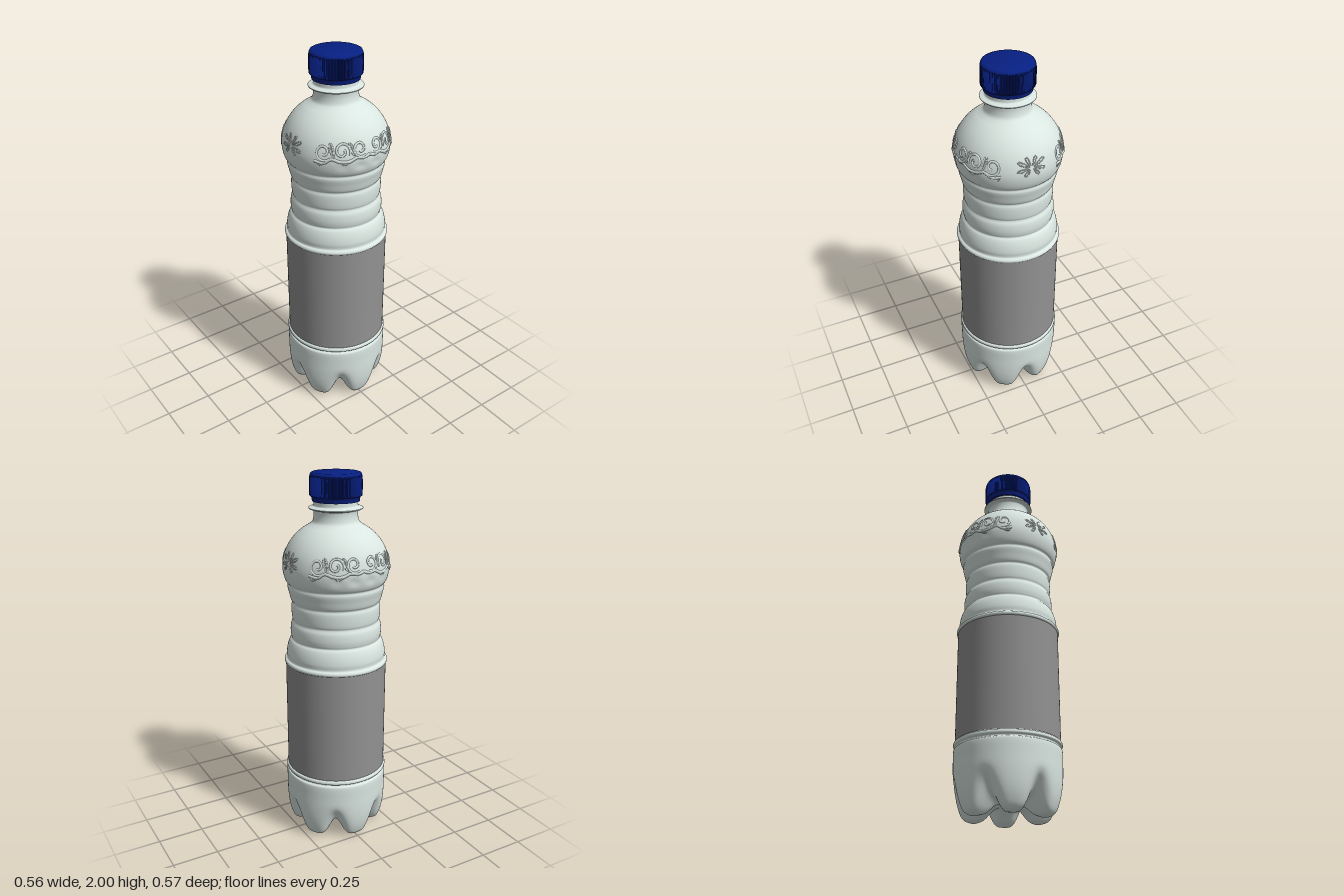
import * as THREE from 'three';
import { mergeVertices, mergeGeometries, toCreasedNormals } from 'three/addons/utils/BufferGeometryUtils.js';

const bottleMat = new THREE.MeshStandardMaterial({ color: 0xdae6e1 });
const labelMat = new THREE.MeshStandardMaterial({ color: 0x929292, side: THREE.DoubleSide });
const capMat = new THREE.MeshStandardMaterial({ color: 0x072083 });

// Smooth curve through [radius, height] pairs
function profile(pairs, n) {
  const curve = new THREE.CatmullRomCurve3(pairs.map(([r, y]) => new THREE.Vector3(r, y, 0)), false, 'centripetal');
  return curve.getPoints(n).map(p => new THREE.Vector2(Math.max(p.x, 0), p.y));
}

// Revolve a profile, then reshape every vertex with rule(j, phi, point) -> [radius, height]
function revolve(points, segments, rule) {
  const geo = new THREE.LatheGeometry(points, segments);
  const pos = geo.attributes.position;
  for (let i = 0; i <= segments; i++) {
    const phi = (i % segments) / segments * Math.PI * 2;
    points.forEach((p, j) => {
      const [r, y] = rule(j, phi, p);
      pos.setXYZ(i * points.length + j, r * Math.sin(phi), y, r * Math.cos(phi));
    });
  }
  geo.deleteAttribute('uv');
  geo.deleteAttribute('normal');
  const merged = mergeVertices(geo, 1e-5);
  merged.computeVertexNormals();
  return merged;
}

// Foot and valley sections of the six-lobed base
const FOOT = profile([[0, 0.07], [0.06, 0.067], [0.105, 0.045], [0.145, 0.012], [0.18, 0.001], [0.212, 0.001],
  [0.24, 0.016], [0.26, 0.06], [0.273, 0.12], [0.279, 0.19], [0.28, 0.27]], 40);
const VALLEY = profile([[0, 0.07], [0.06, 0.07], [0.105, 0.072], [0.145, 0.076], [0.178, 0.088], [0.205, 0.108],
  [0.23, 0.138], [0.25, 0.164], [0.266, 0.186], [0.277, 0.214], [0.28, 0.27]], 40);

// Wall, label recess, ribbed waist, shoulder, neck and collar
const WALL = profile([[0.28, 0.27], [0.28, 0.335], [0.277, 0.345], [0.269, 0.35], [0.269, 0.358], [0.28, 0.363],
  [0.281, 0.372], [0.278, 0.38], [0.267, 0.385], [0.267, 0.6], [0.267, 0.99], [0.277, 0.997], [0.28, 1.006],
  [0.276, 1.015], [0.266, 1.022], [0.267, 1.05], [0.26, 1.09], [0.248, 1.12], [0.238, 1.132], [0.241, 1.145],
  [0.244, 1.17], [0.24, 1.21], [0.23, 1.232], [0.234, 1.245], [0.237, 1.28], [0.236, 1.315], [0.231, 1.332],
  [0.239, 1.345], [0.248, 1.38], [0.256, 1.415], [0.253, 1.432], [0.263, 1.445], [0.273, 1.47], [0.28, 1.51],
  [0.278, 1.55], [0.265, 1.6], [0.242, 1.645], [0.21, 1.685], [0.172, 1.717], [0.14, 1.737], [0.122, 1.752],
  [0.115, 1.775], [0.114, 1.8], [0.117, 1.812], [0.139, 1.818], [0.14, 1.824], [0.116, 1.832], [0.113, 1.845],
  [0.113, 1.9]], 192);

function radiusAt(y) {
  const k = WALL.findIndex(p => p.y >= y);
  const a = WALL[k - 1], b = WALL[k];
  return a.x + (b.x - a.x) * (y - a.y) / (b.y - a.y);
}

function bottle() {
  const points = [...FOOT, ...WALL.slice(1)];
  const geo = revolve(points, 144, (j, phi, p) => {
    if (j >= FOOT.length) {
      // shallow flutes below the scrollwork
      const flute = Math.exp(-(((p.y - 1.495) / 0.02) ** 2)) * Math.max(0, Math.cos(2 * phi));
      return [p.x - 0.006 * flute * (0.5 - 0.5 * Math.cos(18 * phi)), p.y];
    }
    const w = Math.pow(0.5 - 0.5 * Math.cos(6 * phi), 2.2);
    const v = VALLEY[j];
    return [p.x + (v.x - p.x) * w, p.y + (v.y - p.y) * w];
  });
  return new THREE.Mesh(geo, bottleMat);
}

// Raised line on the shoulder; u is the arc distance from the angle phi0
function relief(path, phi0, thick, closed = false) {
  const pts = path.map(([u, y]) => {
    const phi = phi0 + u / 0.28, r = radiusAt(y) - thick * 0.3;
    return new THREE.Vector3(r * Math.sin(phi), y, r * Math.cos(phi));
  });
  return new THREE.TubeGeometry(new THREE.CatmullRomCurve3(pts, closed), path.length * 2, thick, 6, closed);
}

function spiral(u, y, size, dir, start, turns) {
  return Array.from({ length: 18 }, (_, i) => {
    const t = i / 17, a = start + dir * t * turns * Math.PI * 2, r = size * (1 - 0.75 * t);
    return [u + r * Math.cos(a), y + r * Math.sin(a)];
  });
}

// Closed leaf outline growing from (u, y) in a direction
function leaf(u, y, angle, length, width) {
  return Array.from({ length: 12 }, (_, i) => {
    const a = i / 12 * Math.PI * 2;
    const l = length * (0.5 - 0.5 * Math.cos(a)), w = width * Math.sin(a) * (0.3 + 0.7 * l / length);
    return [u + l * Math.cos(angle) - w * Math.sin(angle), y + l * Math.sin(angle) + w * Math.cos(angle)];
  });
}

// Scrollwork band, mirrored about its middle
function scrollBand(phi0) {
  const parts = [];
  for (const s of [-1, 1]) {
    const add = (path, thick, closed) => parts.push(relief(path.map(([u, y]) => [s * u, y]), phi0, thick, closed));
    add(spiral(0.05, 1.583, 0.042, 1, -2.2, 1.2), 0.007);
    add(spiral(0.145, 1.576, 0.044, -1, 3.6, 1.2), 0.007);
    add(spiral(0.24, 1.572, 0.045, 1, -2.4, 1.2), 0.007);
    add([[0, 1.548], [0.03, 1.537], [0.07, 1.543], [0.11, 1.525], [0.16, 1.527], [0.2, 1.541], [0.24, 1.518], [0.285, 1.526]], 0.009);
    add(leaf(0.085, 1.555, 1.2, 0.06, 0.01), 0.005, true);
    add(leaf(0.188, 1.545, 1.3, 0.07, 0.01), 0.005, true);
    add(leaf(0.1, 1.53, -0.4, 0.045, 0.009), 0.005, true);
    add(leaf(0.23, 1.525, -0.4, 0.045, 0.009), 0.005, true);
  }
  return new THREE.Mesh(mergeGeometries(parts), bottleMat);
}

// Small flower of radiating leaves
function flower(phi0) {
  const parts = [];
  for (const s of [-1, 1]) {
    for (const [angle, length] of [[1.1, 0.06], [0.45, 0.078], [-0.2, 0.075], [-0.85, 0.055]]) {
      const path = leaf(0.014 * Math.cos(angle), 1.563 + 0.01 * Math.sin(angle), angle, length - 0.012, 0.009);
      parts.push(relief(path.map(([u, y]) => [s * u, y]), phi0, 0.003, true));
    }
  }
  return new THREE.Mesh(mergeGeometries(parts), bottleMat);
}

// Screw cap with a plain lower ring and fine grip ribs
function cap() {
  const pts = [[0, 1.86], [0.108, 1.855], [0.122, 1.856], [0.124, 1.874], [0.127, 1.88], [0.133, 1.884], [0.134, 1.9],
    [0.134, 1.94], [0.133, 1.975], [0.132, 1.988], [0.128, 1.996], [0.119, 2], [0, 2]].map(p => new THREE.Vector2(...p));
  const geo = revolve(pts, 480, (j, phi, p) => {
    const rib = j >= 5 && j <= 8 ? 0.002 * Math.cos(120 * phi) : 0;
    return [p.x + rib, p.y];
  });
  return new THREE.Mesh(toCreasedNormals(geo, 0.7), capMat);
}

export function createModel() {
  const model = new THREE.Group();
  const add = (mesh, name) => { mesh.name = name; model.add(mesh); };
  add(bottle(), 'bottle');
  const label = new THREE.Mesh(new THREE.CylinderGeometry(0.273, 0.273, 0.612, 96, 1, true), labelMat);
  label.position.y = 0.69;
  add(label, 'label');
  add(cap(), 'cap');
  add(scrollBand(0), 'frontScrollwork');
  add(scrollBand(Math.PI), 'backScrollwork');
  add(flower(Math.PI / 2), 'leftFlower');
  add(flower(-Math.PI / 2), 'rightFlower');
  return model;
}
